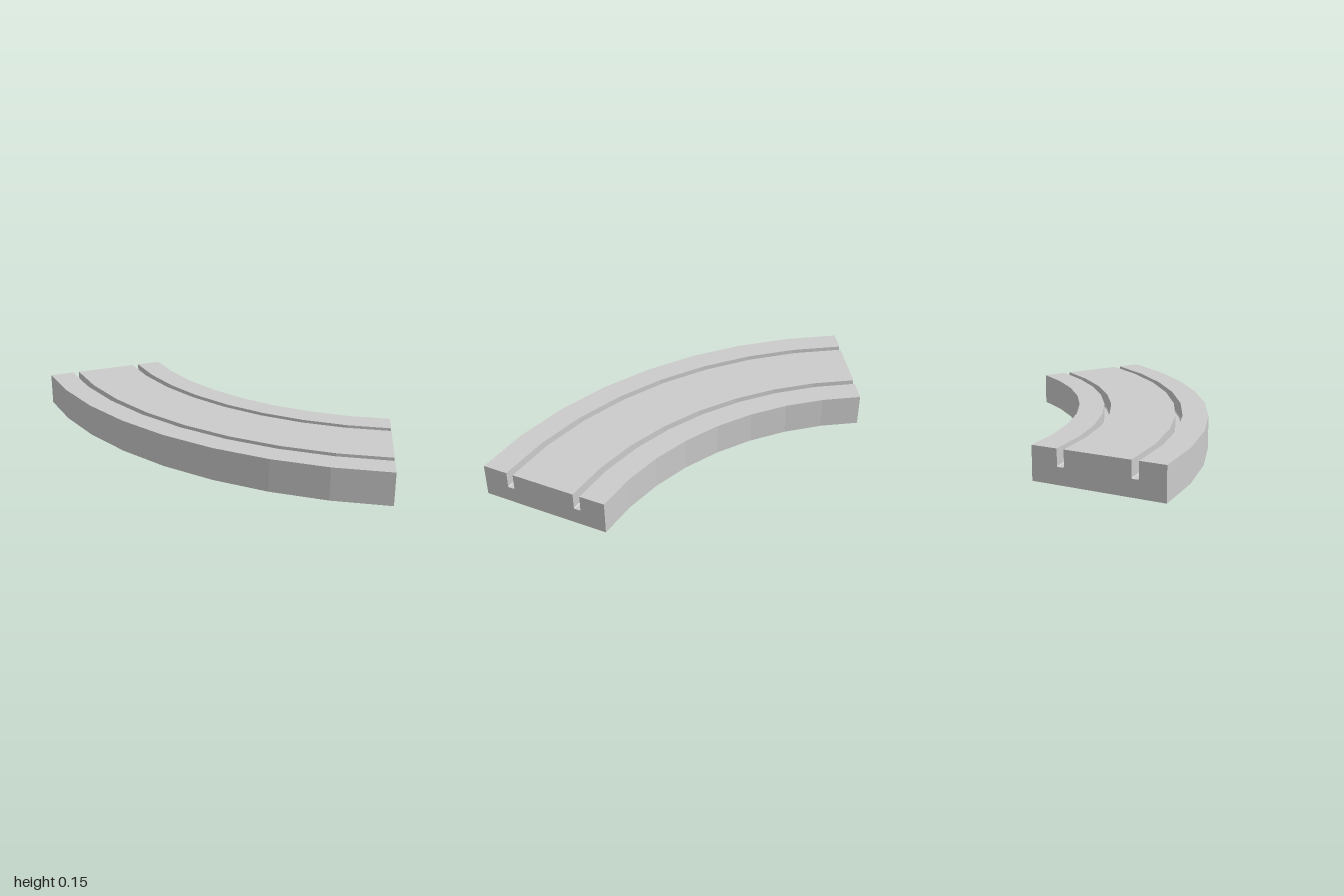
import * as THREE from 'three';

const INNER = 1.406, OUTER = 2, HEIGHT = 0.15;
const GROOVES = [1.539, 1.868];              // centre radii of the two wheel grooves
const HALF_WIDTH = 0.016, FLOOR = 0.075, CHAMFER = 0.004;
const HALF_ANGLE = Math.PI / 6, SEGMENTS = 8;
const ARC_CENTRE_Z = -1.609;

// Closed cross-section (radius, height), counter-clockwise
function trackProfile() {
  const pts = [[INNER, 0], [OUTER, 0], [OUTER, HEIGHT]];
  for (const r of [...GROOVES].reverse()) {
    const a = r + HALF_WIDTH, b = r - HALF_WIDTH;
    pts.push([a, HEIGHT], [a, FLOOR + CHAMFER], [a - CHAMFER, FLOOR],
      [b + CHAMFER, FLOOR], [b, FLOOR + CHAMFER], [b, HEIGHT]);
  }
  pts.push([INNER, HEIGHT]);
  return pts.map(([x, y]) => new THREE.Vector2(x, y));
}

export function createModel() {
  const group = new THREE.Group();
  group.name = 'curvedTrack';
  const material = new THREE.MeshStandardMaterial({ color: 0xcccccc, flatShading: true });
  const capMaterial = material.clone();
  capMaterial.side = THREE.DoubleSide;
  const profile = trackProfile();

  // Swept 60 degree body with grooves
  const body = new THREE.Mesh(
    new THREE.LatheGeometry([...profile, profile[0].clone()], SEGMENTS, -HALF_ANGLE, 2 * HALF_ANGLE),
    material);
  body.name = 'trackBody';
  body.position.z = ARC_CENTRE_Z;
  group.add(body);

  // Flat ends showing the groove cross-section
  const capGeometry = new THREE.ShapeGeometry(new THREE.Shape(profile));
  for (const side of [-1, 1]) {
    const cap = new THREE.Mesh(capGeometry, capMaterial);
    cap.name = side > 0 ? 'leftEnd' : 'rightEnd';
    cap.rotation.y = side * HALF_ANGLE - Math.PI / 2;
    cap.position.z = ARC_CENTRE_Z;
    group.add(cap);
  }
  return group;
}
